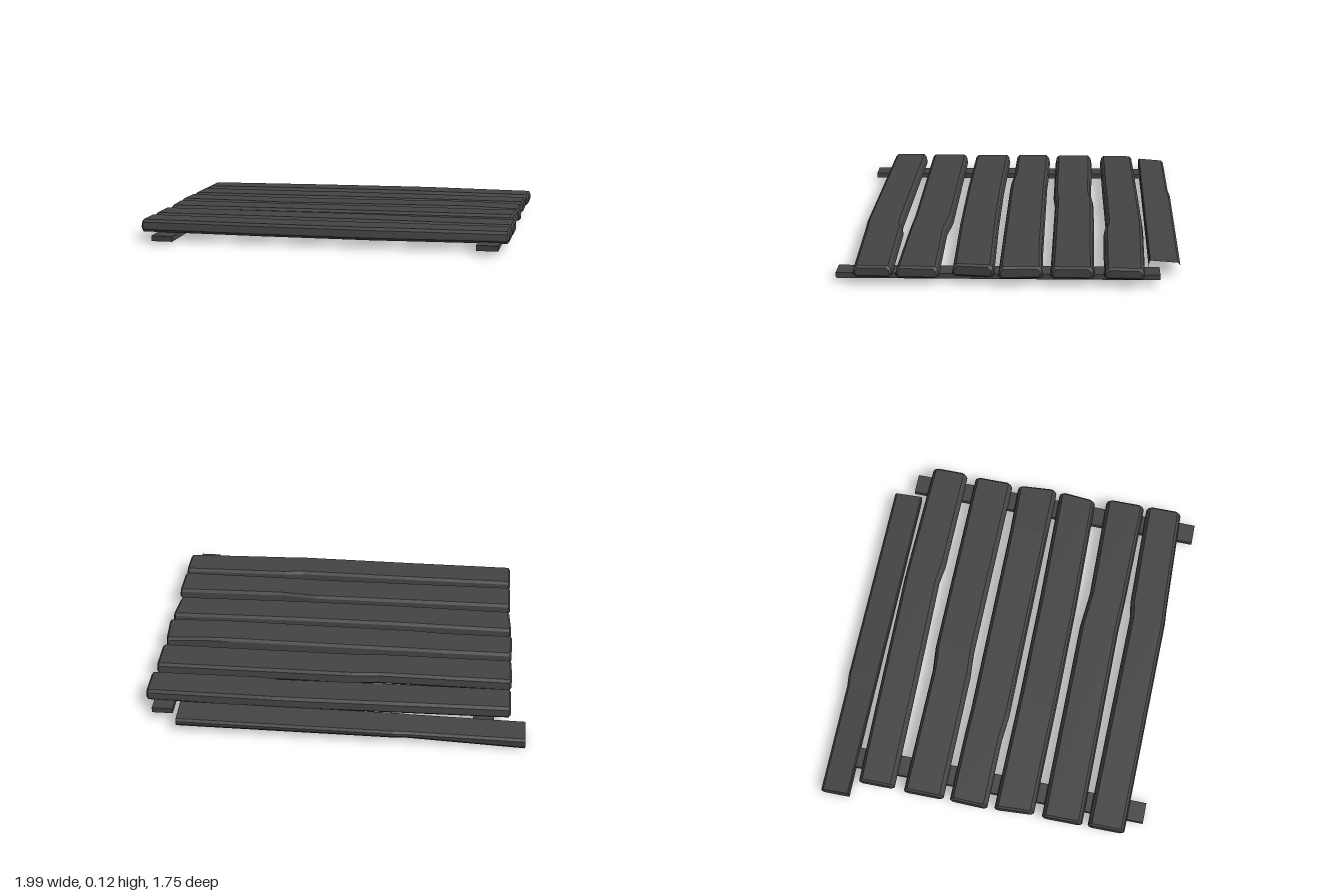
import * as THREE from 'three';

const material = new THREE.MeshStandardMaterial({ color: 0x444444, flatShading: true });

// Skin rings of [x, y, z] points, each running counter-clockwise seen from +x, ordered by x
function loft(rings, capStart = true, capEnd = true) {
  const n = rings[0].length, index = [], last = (rings.length - 1) * n;
  for (let r = 0; r < rings.length - 1; r++) {
    for (let i = 0; i < n; i++) {
      const a = r * n + i, b = r * n + (i + 1) % n;
      index.push(a, b, b + n, a, b + n, a + n);
    }
  }
  for (let i = 1; i < n - 1; i++) {
    if (capStart) index.push(0, i + 1, i);
    if (capEnd) index.push(last, last + i, last + i + 1);
  }
  const geometry = new THREE.BufferGeometry();
  geometry.setAttribute('position', new THREE.Float32BufferAttribute(rings.flat(2), 3));
  geometry.setIndex(index);
  const flat = geometry.toNonIndexed();
  flat.computeVertexNormals();
  return flat;
}

// Chamfered board section between z0 (back) and z1 (front), y0 and y1
function boardRing(x, z0, z1, y0, y1, inset = 0, slant = [0, 0]) {
  const b = 0.014, s = 0.007;
  z0 += inset; z1 -= inset; y0 += inset; y1 -= inset;
  const points = [
    [z0 + b, y0], [z0, y0 + b], [z0 + s, y1 - b], [z0 + b + s, y1],
    [z1 - b - s, y1], [z1 - s, y1 - b], [z1, y0 + b], [z1 - b, y0],
  ];
  return points.map(([z, y]) => [x + THREE.MathUtils.lerp(slant[0], slant[1], (z - z0) / (z1 - z0)), y, z]);
}

// Worn board: stations are [x, back z, front z, bottom y, top y]
function board({ stations, left = [0, 0], right = [0, 0] }) {
  const bevel = 0.01, end = stations.length - 1, rings = [];
  stations.forEach(([x, ...size], i) => {
    if (i === 0) rings.push(boardRing(x, ...size, bevel, left), boardRing(x + bevel, ...size, 0, left));
    else if (i === end) rings.push(boardRing(x - bevel, ...size, 0, right), boardRing(x, ...size, bevel, right));
    else rings.push(boardRing(x, ...size));
  });
  return loft(rings);
}

const boards = [
  { stations: [
    [-0.925, 0.58, 0.78, 0.053, 0.117], [-0.3, 0.59, 0.79, 0.05, 0.115],
    [0.3, 0.6, 0.8, 0.05, 0.115], [0.4, 0.587, 0.795, 0.05, 0.115], [0.99, 0.58, 0.78, 0.052, 0.113]] },
  { stations: [
    [-0.925, 0.33, 0.55, 0.053, 0.116], [0.2, 0.333, 0.55, 0.05, 0.115],
    [0.4, 0.352, 0.557, 0.05, 0.115], [0.99, 0.345, 0.565, 0.05, 0.112]] },
  { stations: [
    [-0.93, 0.07, 0.285, 0.053, 0.117], [-0.3, 0.08, 0.293, 0.055, 0.12],
    [0.3, 0.08, 0.293, 0.055, 0.121], [0.98, 0.07, 0.282, 0.055, 0.12]], left: [0, 0.012], right: [0, -0.017] },
  { stations: [
    [-0.935, -0.175, 0.032, 0.053, 0.117], [-0.55, -0.172, 0.035, 0.052, 0.116],
    [-0.4, -0.168, 0.048, 0.052, 0.115], [0.7, -0.168, 0.05, 0.052, 0.124],
    [0.975, -0.175, 0.05, 0.052, 0.115]], left: [0.005, 0], right: [0, 0.015] },
  { stations: [
    [-0.93, -0.43, -0.21, 0.053, 0.117], [-0.22, -0.423, -0.208, 0.053, 0.118],
    [-0.08, -0.436, -0.218, 0.053, 0.118], [0.98, -0.43, -0.21, 0.053, 0.116]] },
  { stations: [
    [-0.925, -0.68, -0.482, 0.056, 0.118], [-0.3, -0.69, -0.488, 0.058, 0.121],
    [0.3, -0.698, -0.497, 0.058, 0.122], [0.4, -0.696, -0.483, 0.058, 0.122],
    [0.99, -0.682, -0.478, 0.058, 0.117]] },
];

// Rail under the boards; it rises slightly towards the back
function rail(x, zBack, zFront, bottom) {
  const geometry = new THREE.BoxGeometry(0.11, 0.028, zFront - zBack, 1, 1, 4);
  geometry.translate(x, bottom + 0.014, (zFront + zBack) / 2);
  const p = geometry.attributes.position;
  for (let i = 0; i < p.count; i++) p.setY(i, p.getY(i) + 0.012 * (0.87 - p.getZ(i)) / 1.63);
  geometry.computeVertexNormals();
  return geometry;
}

// Detached sagging board: stations are [x, back z, front z, bottom y, top y]
function looseBoard() {
  const stations = [
    [-1, -0.872, -0.72, 0.008, 0.077], [-0.4, -0.87, -0.716, 0.035, 0.085],
    [-0.33, -0.877, -0.715, 0.037, 0.088], [0.8, -0.868, -0.71, 0.038, 0.091],
  ];
  const rings = stations.map(([x, z0, z1, y0, y1]) => [
    [z0 + 0.012, y0], [z0, y0 + 0.015], [z0, y1 - 0.022], [z0 + 0.012, y1 - 0.01],
    [z1 - 0.006, y1], [z1, y1 - 0.006], [z1, y0],
  ].map(([z, y]) => [x, y, z]));
  return loft(rings, true, false);
}

export function createModel() {
  const model = new THREE.Group();
  model.name = 'woodenPlatform';
  const add = (name, geometry) => {
    const mesh = new THREE.Mesh(geometry, material);
    mesh.name = name;
    model.add(mesh);
  };

  // Deck boards
  boards.forEach((spec, i) => add(`deckBoard${i + 1}`, board(spec)));

  // Support rails
  add('rightRail', rail(-0.785, -0.74, 0.87, 0.022));
  add('leftRail', rail(0.89, -0.76, 0.87, 0.03));

  // Loose board at the back, open at its broken end
  add('looseBoard', looseBoard());

  // Stand on the ground
  model.position.y = -new THREE.Box3().setFromObject(model).min.y;
  return model;
}
